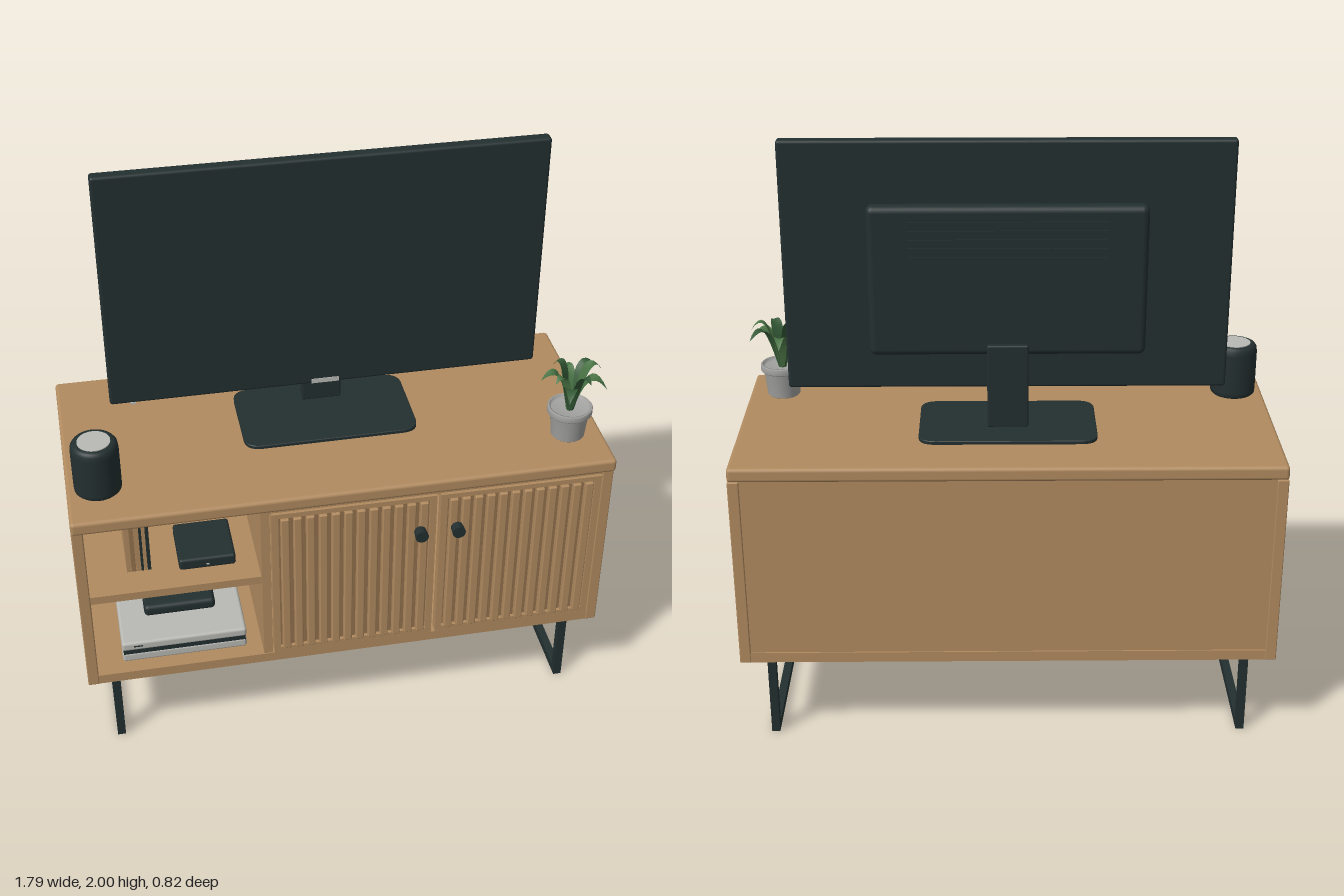
import * as THREE from 'three';
import { RoundedBoxGeometry } from 'three/addons/geometries/RoundedBoxGeometry.js';

const paint = (name, color, side = THREE.FrontSide) => {
  const m = new THREE.MeshStandardMaterial({ color, side });
  m.name = name;
  return m;
};

export function createModel() {
  const root = new THREE.Group();
  root.name = 'mediaUnit';
  const wood = paint('wood', 0xb18b60);
  const groove = paint('grooveWood', 0x94734e);
  const dark = paint('charcoal', 0x232f30);
  const silver = paint('silver', 0xb9b9b4);
  const clay = paint('potGrey', 0xa3a3a2, THREE.DoubleSide);
  const leafLight = paint('leafGreen', 0x4a7445, THREE.DoubleSide);
  const leafDark = paint('deepLeafGreen', 0x345a36, THREE.DoubleSide);

  const group = (name, parent = root) => {
    const g = new THREE.Group();
    g.name = name;
    parent.add(g);
    return g;
  };
  const add = (parent, name, geo, mat, x = 0, y = 0, z = 0) => {
    const m = new THREE.Mesh(geo, mat);
    m.name = name;
    m.position.set(x, y, z);
    parent.add(m);
    return m;
  };
  // Box given by its limits, rounded when r > 0
  const box = (parent, name, mat, [x0, x1], [y0, y1], [z0, z1], r = 0) => {
    const s = [x1 - x0, y1 - y0, z1 - z0];
    const geo = r ? new RoundedBoxGeometry(...s, 3, r) : new THREE.BoxGeometry(...s);
    return add(parent, name, geo, mat, (x0 + x1) / 2, (y0 + y1) / 2, (z0 + z1) / 2);
  };

  // Cabinet carcass
  const cabinet = group('cabinet');
  box(cabinet, 'top', wood, [-0.895, 0.892], [0.982, 1.03], [-0.41, 0.387], 0.012);
  box(cabinet, 'rightSide', wood, [-0.895, -0.858], [0.315, 0.982], [-0.407, 0.367], 0.004);
  box(cabinet, 'leftSide', wood, [0.855, 0.892], [0.315, 0.982], [-0.407, 0.367], 0.004);
  box(cabinet, 'bottom', wood, [-0.86, 0.857], [0.316, 0.352], [-0.405, 0.365]);
  box(cabinet, 'back', wood, [-0.86, 0.857], [0.35, 0.984], [-0.4, -0.375]);
  box(cabinet, 'divider', wood, [-0.292, -0.262], [0.35, 0.984], [-0.38, 0.362]);
  box(cabinet, 'shelf', wood, [-0.86, -0.29], [0.655, 0.685], [-0.38, 0.345]);
  box(cabinet, 'topRail', wood, [-0.264, 0.857], [0.962, 0.984], [0.33, 0.362]);

  // Slatted doors with round knobs
  for (const [name, x0, x1, knobX] of [['rightDoor', -0.257, 0.292, 0.235], ['leftDoor', 0.306, 0.853, 0.36]]) {
    const door = group(name, cabinet);
    box(door, 'panel', groove, [x0 + 0.005, x1 - 0.005], [0.36, 0.955], [0.335, 0.356]);
    for (const [a, b] of [[0.355, 0.377], [0.94, 0.958]]) {
      box(door, 'rail', wood, [x0, x1], [a, b], [0.335, 0.368]);
    }
    for (const [a, b] of [[x0, x0 + 0.022], [x1 - 0.022, x1]]) {
      box(door, 'stile', wood, [a, b], [0.355, 0.958], [0.335, 0.368]);
    }
    const count = 12, pitch = (x1 - x0 - 0.044) / count;
    for (let i = 0; i < count; i++) {
      const x = x0 + 0.022 + (i + 0.5) * pitch;
      box(door, 'slat', wood, [x - 0.0135, x + 0.0135], [0.377, 0.94], [0.34, 0.379], 0.004);
    }
    const knob = add(door, 'knob', new THREE.CylinderGeometry(0.022, 0.02, 0.034, 24), dark, knobX, 0.826, 0.395);
    knob.rotation.x = Math.PI / 2;
  }

  // Sled legs: closed square frames
  for (const x of [-0.8, 0.797]) {
    const frame = new THREE.Shape();
    frame.moveTo(-0.345, 0).lineTo(0.307, 0).lineTo(0.307, 0.316).lineTo(-0.345, 0.316).closePath();
    const hole = new THREE.Path();
    hole.moveTo(-0.317, 0.028).lineTo(-0.317, 0.288).lineTo(0.279, 0.288).lineTo(0.279, 0.028).closePath();
    frame.holes.push(hole);
    const geo = new THREE.ExtrudeGeometry(frame, { depth: 0.028, bevelEnabled: false });
    geo.translate(0, 0, -0.014).rotateY(-Math.PI / 2);
    add(root, 'legFrame', geo, dark, x, 0, 0);
  }

  // Television
  const tv = group('television');
  box(tv, 'screen', dark, [-0.722, 0.72], [1.17, 2], [-0.08, -0.037], 0.01);
  box(tv, 'rearHousing', dark, [-0.45, 0.445], [1.3, 1.8], [-0.128, -0.07], 0.022);
  for (let i = 0; i < 5; i++) {
    const y = 1.625 + i * 0.029;
    box(tv, 'vent', dark, [-0.32, 0.315], [y, y + 0.011], [-0.133, -0.125]);
  }
  box(tv, 'neck', dark, [-0.07, 0.065], [1.053, 1.34], [-0.143, -0.113], 0.006);
  box(tv, 'badgePlate', silver, [-0.05, 0.042], [1.174, 1.19], [-0.04, -0.034]);
  box(tv, 'statusLight', silver, [-0.655, -0.638], [1.167, 1.174], [-0.045, -0.035]);
  const w = 0.292, d = 0.165, r = 0.055;
  const foot = new THREE.Shape();
  foot.moveTo(-w + r, -d).lineTo(w - r, -d).quadraticCurveTo(w, -d, w, -d + r)
    .lineTo(w, d - r).quadraticCurveTo(w, d, w - r, d)
    .lineTo(-w + r, d).quadraticCurveTo(-w, d, -w, d - r)
    .lineTo(-w, -d + r).quadraticCurveTo(-w, -d, -w + r, -d);
  const footGeo = new THREE.ExtrudeGeometry(foot, { depth: 0.01, bevelSize: 0.002, bevelThickness: 0.002, bevelSegments: 1 });
  add(tv, 'base', footGeo.rotateX(-Math.PI / 2), dark, -0.003, 1.03, -0.062);

  const lathe = (pts) => new THREE.LatheGeometry(pts.map(([x, y]) => new THREE.Vector2(x, y)), 40);

  // Speaker
  const speaker = group('speaker');
  speaker.position.set(-0.792, 1.03, 0.21);
  add(speaker, 'body', lathe([[0, 0], [0.07, 0], [0.076, 0.006], [0.077, 0.02], [0.077, 0.155], [0.075, 0.172],
    [0.069, 0.181], [0.06, 0.185], [0.052, 0.183], [0, 0.181]]), dark);
  add(speaker, 'topDisc', new THREE.CylinderGeometry(0.053, 0.053, 0.006, 40), silver, 0, 0.183, 0);

  // Items in the open bay
  const bay = group('shelfItems');
  const books = [[-0.727, 0.016, wood, 0.968], [-0.71, 0.014, groove, 0.975], [-0.695, 0.016, wood, 0.965],
    [-0.678, 0.008, dark, 0.972], [-0.669, 0.011, wood, 0.97], [-0.657, 0.011, dark, 0.975]];
  for (const [x, t, mat, top] of books) box(bay, 'book', mat, [x, x + t], [0.685, top], [-0.06, 0.24]);
  box(bay, 'streamingBox', dark, [-0.555, -0.365], [0.687, 0.73], [0.07, 0.27], 0.01);
  box(bay, 'streamingBoxLight', silver, [-0.465, -0.455], [0.703, 0.708], [0.266, 0.272]);
  box(bay, 'playerLower', silver, [-0.77, -0.345], [0.355, 0.392], [0.03, 0.32], 0.01);
  box(bay, 'playerBand', dark, [-0.766, -0.349], [0.385, 0.408], [0.034, 0.318]);
  box(bay, 'playerUpper', silver, [-0.77, -0.345], [0.402, 0.437], [0.03, 0.32], 0.01);
  box(bay, 'playerSlot', dark, [-0.73, -0.7], [0.42, 0.424], [0.316, 0.322]);
  box(bay, 'controller', dark, [-0.68, -0.435], [0.437, 0.48], [0.04, 0.2], 0.015);

  // Potted plant
  const plant = group('plant');
  plant.position.set(0.775, 1.03, 0.21);
  add(plant, 'pot', lathe([[0, 0], [0.052, 0], [0.056, 0.004], [0.064, 0.088], [0.072, 0.09], [0.075, 0.094],
    [0.075, 0.112], [0.072, 0.115], [0.066, 0.114], [0.063, 0.1], [0, 0.1]]), clay);
  // Leaf: folded blade swept along an arching path
  const leafGeo = (reach, peak, tip, width) => {
    const path = new THREE.QuadraticBezierCurve(new THREE.Vector2(0.012, 0.1),
      new THREE.Vector2(reach * 0.4, peak), new THREE.Vector2(reach, tip));
    const pos = [], idx = [], n = 9;
    for (let i = 0; i <= n; i++) {
      const t = i / n, p = path.getPoint(t);
      const half = width * Math.pow(Math.sin(Math.PI * (0.07 + 0.93 * Math.pow(t, 0.9))), 0.8);
      for (const s of [-1, 0, 1]) pos.push(p.x, p.y + Math.abs(s) * half * 0.35, s * half);
      if (i < n) {
        for (const k of [0, 1]) {
          const a = i * 3 + k;
          idx.push(a, a + 1, a + 3, a + 1, a + 4, a + 3);
        }
      }
    }
    const geo = new THREE.BufferGeometry();
    geo.setAttribute('position', new THREE.Float32BufferAttribute(pos, 3));
    geo.setIndex(idx);
    geo.computeVertexNormals();
    return geo;
  };
  // Angle in degrees from +x towards -z, reach, control height, tip height, half width
  const leaves = [[92, 0.11, 0.29, 0.2, 0.023], [38, 0.125, 0.31, 0.22, 0.024], [-22, 0.115, 0.3, 0.19, 0.025],
    [-112, 0.122, 0.28, 0.2, 0.025], [176, 0.108, 0.31, 0.22, 0.024], [-65, 0.085, 0.3, 0.24, 0.02],
    [8, 0.1, 0.33, 0.24, 0.02], [135, 0.075, 0.33, 0.25, 0.019], [-150, 0.085, 0.3, 0.235, 0.02]];
  leaves.forEach(([deg, ...dims], i) => {
    const leaf = add(plant, 'leaf', leafGeo(...dims), i % 2 ? leafDark : leafLight);
    leaf.rotation.y = THREE.MathUtils.degToRad(deg);
  });

  return root;
}
